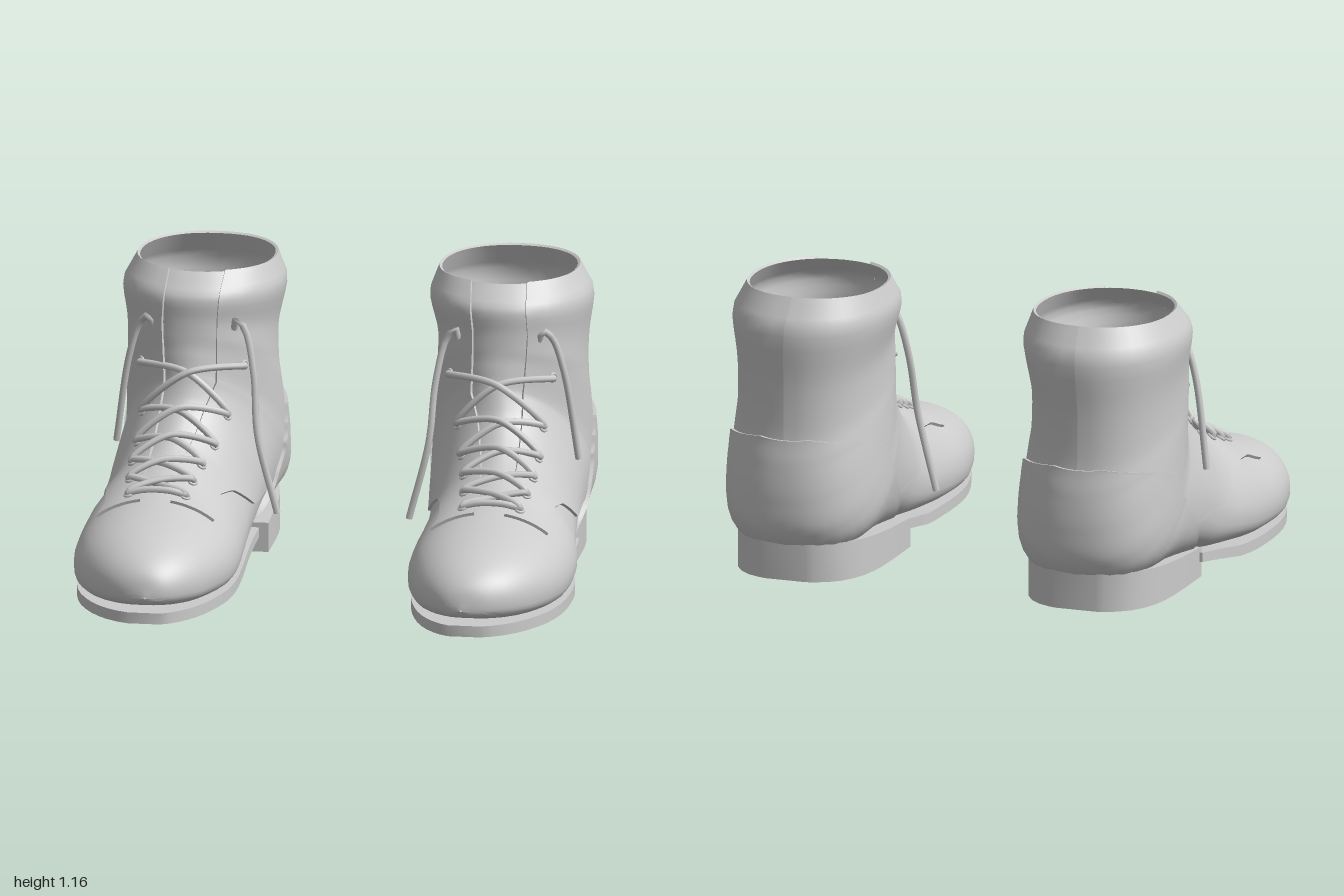
import * as THREE from 'three';
import { toCreasedNormals } from 'three/addons/utils/BufferGeometryUtils.js';

const { clamp, lerp } = THREE.MathUtils;
const material = new THREE.MeshStandardMaterial({ color: 0xcccccc, side: THREE.DoubleSide });

// Sections swept from the toe, round the heel, up to the cuff:
// [bottom/back z, y, top/front z, y, half width]
const SECTIONS = [
  [0.5, 0.03, 0.5, 0.362, 0.317],
  [0.35, 0.03, 0.35, 0.4, 0.326],
  [0.2, 0.03, 0.22, 0.465, 0.32],
  [0.05, 0.04, 0.1, 0.53, 0.303],
  [-0.12, 0.06, 0.02, 0.585, 0.293],
  [-0.3, 0.1, -0.05, 0.65, 0.295],
  [-0.55, 0.13, -0.08, 0.7, 0.3],
  [-0.8, 0.13, -0.1, 0.75, 0.305],
  [-0.89, 0.2, -0.11, 0.78, 0.303],
  [-0.905, 0.33, -0.12, 0.82, 0.298],
  [-0.895, 0.47, -0.13, 0.86, 0.292],
  [-0.875, 0.6, -0.135, 0.9, 0.285],
  [-0.875, 0.8, -0.14, 0.97, 0.285],
  [-0.89, 1.04, -0.145, 1.07, 0.312],
  [-0.82, 1.15, -0.225, 1.15, 0.268],
];
// Rounded toe cap in front of them
for (let i = 1; i <= 5; i++) {
  const a = (1 + i) * Math.PI / 12, k = Math.max(0.01, Math.cos(a)), z = 0.35 + 0.585 * Math.sin(a);
  SECTIONS.unshift([z, 0.11 - 0.08 * k ** 0.8, z, 0.11 + 0.25 * k ** 0.8, 0.328 * k]);
}
const LAST = SECTIONS.length - 1;

// Values that vary along the sweep, as [section, value]
const CENTRE = [[0, 0.635], [2, 0.658], [4, 0.672], [7, 0.672], [9, 0.65], [12, 0.617], [17, 0.625], [LAST, 0.608]];
const WIDEST = [[0, 0.42], [6, 0.3], [8, 0.28], [12, 0.4], [16, 0.5]];
const ROUND_LOW = [[0, 2.4], [3, 3.6], [11, 3], [15, 2.2]];
const ROUND_TOP = [[5, 2], [8, 1.55], [12, 1.8], [16, 2.1]];
const SEAM = [[5.5, 0.78], [6, 0.82], [7, 0.74], [8, 0.6], [9, 0.35], [10, 0.28], [13, 0]];
const GAP = [[5.5, 0.06], [8, 0.07], [12, 0.1], [LAST, 0.11]];
const COUNTER = [[9.9, 0.05], [11, 0.28], [12, 0.42], [13, 0.43], [14, 0.39], [15, 0.22], [15.85, 0.02]];
const EYELETS = [[5.8, 0.11], [6.6, 0.12], [7.5, 0.13], [8.8, 0.145], [10.4, 0.16], [14.4, 0.195]];

function table(points, u) {
  let i = 0;
  while (i < points.length - 2 && u > points[i + 1][0]) i++;
  const [a, b] = [points[i], points[i + 1]];
  return lerp(a[1], b[1], clamp((u - a[0]) / (b[0] - a[0]), 0, 1));
}

// Smooth blend between neighbouring sections
function sectionAt(u) {
  u = clamp(u, 0, LAST);
  const i = Math.min(Math.floor(u), LAST - 1), t = u - i;
  const at = k => SECTIONS[clamp(k, 0, LAST)];
  const blend = at(i).map((b, k) => {
    const a = at(i - 1)[k], c = at(i + 1)[k], d = at(i + 2)[k];
    // The cuff tapers straight to its rim
    if (i === LAST - 1) return lerp(b, c, t);
    return b + 0.5 * t * (c - a + t * (2 * a - 5 * b + 4 * c - d + t * (3 * (b - c) + d - a)));
  });
  return [...blend, ...[CENTRE, WIDEST, ROUND_LOW, ROUND_TOP].map(points => table(points, u))];
}

// Point on the boot skin; phi = 0 is the bottom/back line, +-PI the top/front line
function skin(u, phi) {
  const [bz, by, tz, ty, hw, cx, fm, nb, nt] = sectionAt(u);
  const c = Math.cos(phi), s = Math.abs(Math.sin(phi));
  const f = c > 0 ? fm * (1 - c ** (2 / nb)) : fm + (1 - fm) * (-c) ** (2 / nt);
  const x = cx + Math.sign(phi) * hw * s ** (2 / (c > 0 ? nb : nt));
  return new THREE.Vector3(x, by + (ty - by) * f, bz + (tz - bz) * f);
}

// Skin point pushed outward
function raised(u, phi, offset) {
  const p = skin(u, phi);
  if (!offset) return p;
  const e = 0.02, uu = clamp(u, e, LAST - e);
  const n = skin(uu + e, phi).sub(skin(uu - e, phi)).cross(skin(u, phi + e).sub(skin(u, phi - e))).normalize();
  const s = sectionAt(u);
  const out = p.clone().sub(new THREE.Vector3(s[5], (s[1] + s[3]) / 2, (s[0] + s[2]) / 2));
  return p.addScaledVector(n, n.dot(out) < 0 ? -offset : offset);
}

// Angle at a fraction of the section's height, and at a distance from the front line
function phiAtHeight(u, f) {
  const [, , , , , , fm, nb, nt] = sectionAt(u);
  return Math.acos(f < fm ? ((fm - f) / fm) ** (nb / 2) : -(((f - fm) / (1 - fm)) ** (nt / 2)));
}
function phiAtFront(u, x) {
  const s = sectionAt(u);
  return Math.PI - Math.asin(Math.min(1, (x / s[4]) ** (s[8] / 2)));
}

// Grid surface from a point rule
function surface(rule, nu, nv, crease = 0.8) {
  const pos = [], index = [];
  for (let i = 0; i <= nu; i++) for (let j = 0; j <= nv; j++) {
    pos.push(...rule(i, j).toArray());
    if (i < nu && j < nv) {
      const a = i * (nv + 1) + j, b = a + nv + 1;
      index.push(a, a + 1, b, b, a + 1, b + 1);
    }
  }
  const g = new THREE.BufferGeometry();
  g.setAttribute('position', new THREE.Float32BufferAttribute(pos, 3));
  g.setIndex(index);
  return toCreasedNormals(g, crease);
}

// Leather layer lying on the skin, its borders turned down to it
function layer(u0, u1, from, to, offset, openStart = () => false) {
  const nu = 60, nv = 22;
  return surface((i, j) => {
    const u = lerp(u0, u1, clamp((i - 1) / (nu - 2), 0, 1));
    const v = clamp((j - 1) / (nv - 2), 0, 1);
    const border = i === 0 || i === nu || j === nv || (j === 0 && !openStart(u));
    return raised(u, lerp(from(u), to(u), v), border ? 0 : offset);
  }, nu, nv);
}

// Slab from rows of [z, centre x, half width, bottom y, top y], closed at both ends
function slab(rows) {
  const n = rows.length;
  return surface((i, j) => {
    const [z, cx, hw, yb, yt] = rows[clamp(i - 1, 0, n - 1)];
    if (i === 0 || i === n + 1) return new THREE.Vector3(cx, (yb + yt) / 2, z);
    const k = j % 4;
    return new THREE.Vector3(k === 1 || k === 2 ? cx + hw : cx - hw, k < 2 ? yb : yt, z);
  }, n + 1, 4, 0.6);
}

// Sole follows the foot outline, lifting and thinning at the arch
const soleRows = Array.from({ length: 19 }, (_, i) => {
  const [z, , , , hw, cx] = sectionAt(0.8 + i * 0.5);
  const lift = Math.max(0, 0.1 - z) * 0.18;
  return [z - 0.012, cx, hw * 0.965, lift, lift * 0.9 + 0.045];
});
// Heel block is straight in front and rounded behind
const heelRows = Array.from({ length: 11 }, (_, i) => {
  const t = Math.sin(i * Math.PI / 20);
  return [-0.25 - 0.635 * t, 0.617, 0.295 * (1 - (0.99 * t) ** 4.5) ** 0.4, 0, 0.12 + 0.045 * t];
});

const cord = points => new THREE.TubeGeometry(new THREE.CatmullRomCurve3(points), 20, 0.014, 7);
const looseCord = points => cord(points.map(p => new THREE.Vector3(...p)));

function createBoot(side) {
  const boot = new THREE.Group();
  const add = (name, geometry) => {
    if (side < 0) {
      // Mirrored faces get their corner order restored
      geometry.scale(-1, 1, 1);
      if (!geometry.index) geometry.setIndex([...Array(geometry.attributes.position.count).keys()]);
      const ix = geometry.index.array;
      for (let i = 0; i < ix.length; i += 3) [ix[i], ix[i + 1]] = [ix[i + 1], ix[i]];
    }
    const mesh = new THREE.Mesh(geometry, material);
    mesh.name = name;
    boot.add(mesh);
  };

  add('upper', surface((i, j) => skin(i / 4, -Math.PI + j * Math.PI / 20), LAST * 4, 40));
  add('sole', slab(soleRows));
  add('heelBlock', slab(heelRows));

  // Heel counter wrapping the back
  const counterPhi = u => phiAtHeight(u, table(COUNTER, u));
  add('heelCounter', layer(9.9, 15.85, u => -counterPhi(u), counterPhi, 0.026));

  const eyeletAt = (k, s, lift) => raised(EYELETS[k][0], s * phiAtFront(...EYELETS[k]), lift);
  for (const s of [-1, 1]) {
    // Lacing flaps that run up into the shaft
    add('quarter', layer(5.45, LAST, u => s * Math.max(1e-4, phiAtHeight(u, table(SEAM, u))),
      u => s * phiAtFront(u, table(GAP, u)), 0.012, u => table(SEAM, u) < 0.01));

    // Eyelets and crossing laces
    EYELETS.forEach(([u], k) => {
      const ring = new THREE.TorusGeometry(0.016, 0.006, 6, 12);
      const dir = eyeletAt(k, s, 0.04).sub(eyeletAt(k, s, 0)).normalize();
      ring.applyQuaternion(new THREE.Quaternion().setFromUnitVectors(new THREE.Vector3(0, 0, 1), dir));
      add('eyelet', ring.translate(...eyeletAt(k, s, 0.016).toArray()));
      if (k === EYELETS.length - 1) return;
      const crossing = raised((u + EYELETS[k + 1][0]) / 2, Math.PI - 0.02, s > 0 ? 0.028 : 0.01);
      add('lace', cord([eyeletAt(k, s, 0.008), eyeletAt(k, s, 0.028), crossing,
        eyeletAt(k + 1, -s, 0.028), eyeletAt(k + 1, -s, 0.008)]));
    });
  }
  const [barU, barX] = EYELETS[0];
  add('laceBar', cord([-1, -0.4, 0.4, 1].map(m =>
    raised(barU, Math.sign(m) * phiAtFront(barU, barX * Math.abs(m)), 0.024))));

  // Loose lace ends
  add('outerLaceEnd', looseCord([[0.775, 0.93, -0.19], [0.795, 0.975, -0.175], [0.83, 0.94, -0.2],
    [0.875, 0.8, -0.21], [0.93, 0.44, -0.235]]));
  add('innerLaceEnd', looseCord([[0.45, 0.93, -0.19], [0.44, 0.975, -0.175], [0.405, 0.93, -0.18],
    [0.365, 0.75, -0.15], [0.345, 0.52, -0.11], [0.265, 0.2, -0.11]]));
  return boot;
}

export function createModel() {
  const model = new THREE.Group();
  model.name = 'boots';
  for (const [name, side] of [['leftBoot', 1], ['rightBoot', -1]]) {
    const boot = createBoot(side);
    boot.name = name;
    model.add(boot);
  }
  return model;
}
